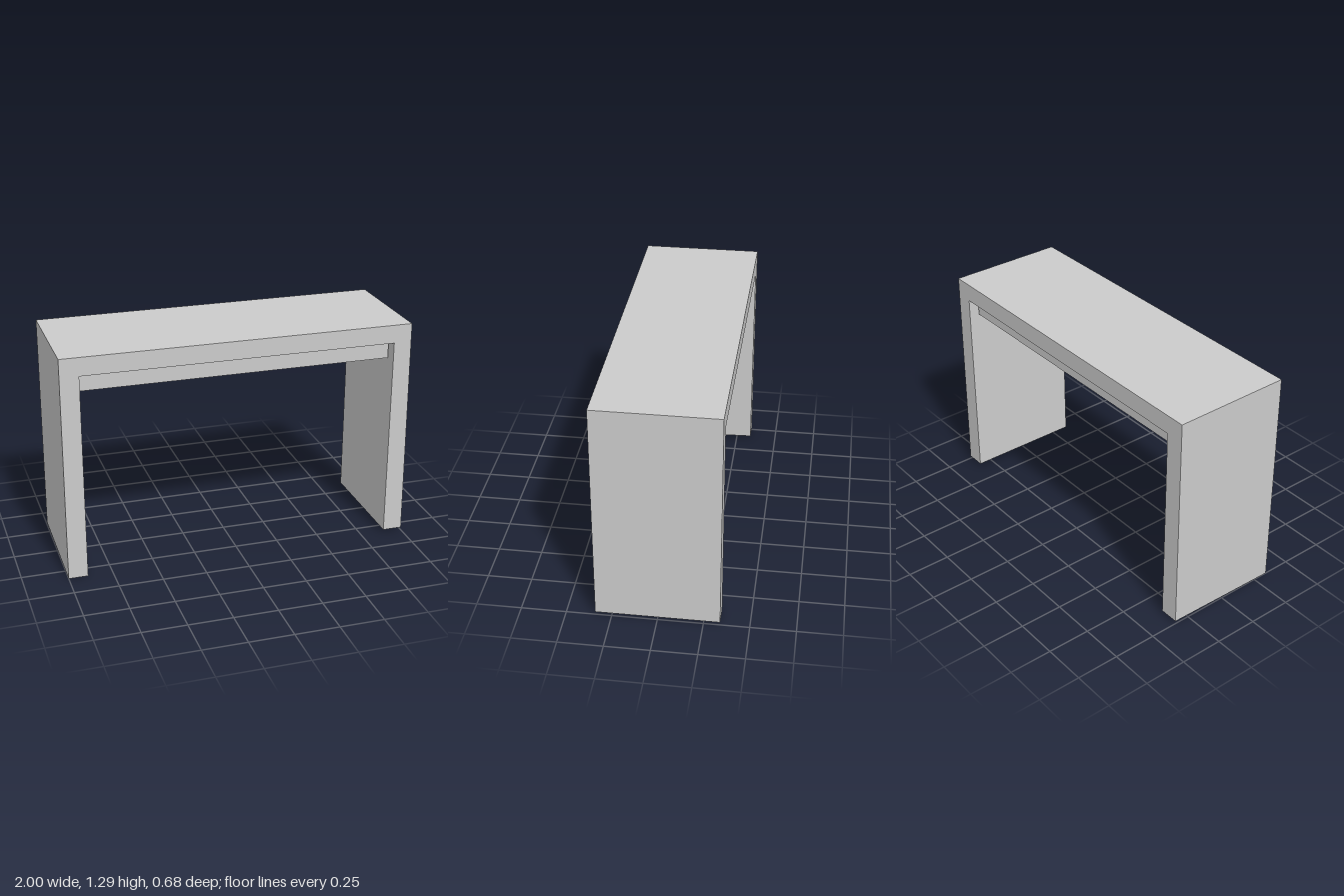
import * as THREE from 'three';

export function createModel() {
  const group = new THREE.Group();
  const material = new THREE.MeshStandardMaterial({ color: 0xcccccc, flatShading: true });
  const depth = 0.68, height = 1.29, footRise = 0.017;

  // Waterfall frame: top slab and two panel legs in one piece, legs splayed very slightly
  const profile = new THREE.Shape([
    [-1, 0], [-0.89, 0], [-0.89, 1.185], [0.894, 1.185],
    [0.888, footRise], [1, footRise], [0.996, height], [-0.996, height],
  ].map(([x, y]) => new THREE.Vector2(x, y)));
  const frameGeometry = new THREE.ExtrudeGeometry(profile, { depth, bevelEnabled: false });
  frameGeometry.translate(0, 0, -depth / 2);

  // The foot of the right leg rises slightly towards the back
  const position = frameGeometry.attributes.position;
  for (let i = 0; i < position.count; i++) {
    if (position.getY(i) < 0.01 && position.getZ(i) < 0) position.setY(i, footRise);
  }
  frameGeometry.computeVertexNormals();
  const frame = new THREE.Mesh(frameGeometry, material);
  frame.name = 'tableFrame';
  group.add(frame);

  // Recessed drawer box under the top, with a hairline gap at the left leg
  const drawer = new THREE.Mesh(new THREE.BoxGeometry(1.775, 0.105, 0.566), material);
  drawer.position.set(-0.0025, 1.1325, 0);
  drawer.name = 'drawerBox';
  group.add(drawer);

  return group;
}
